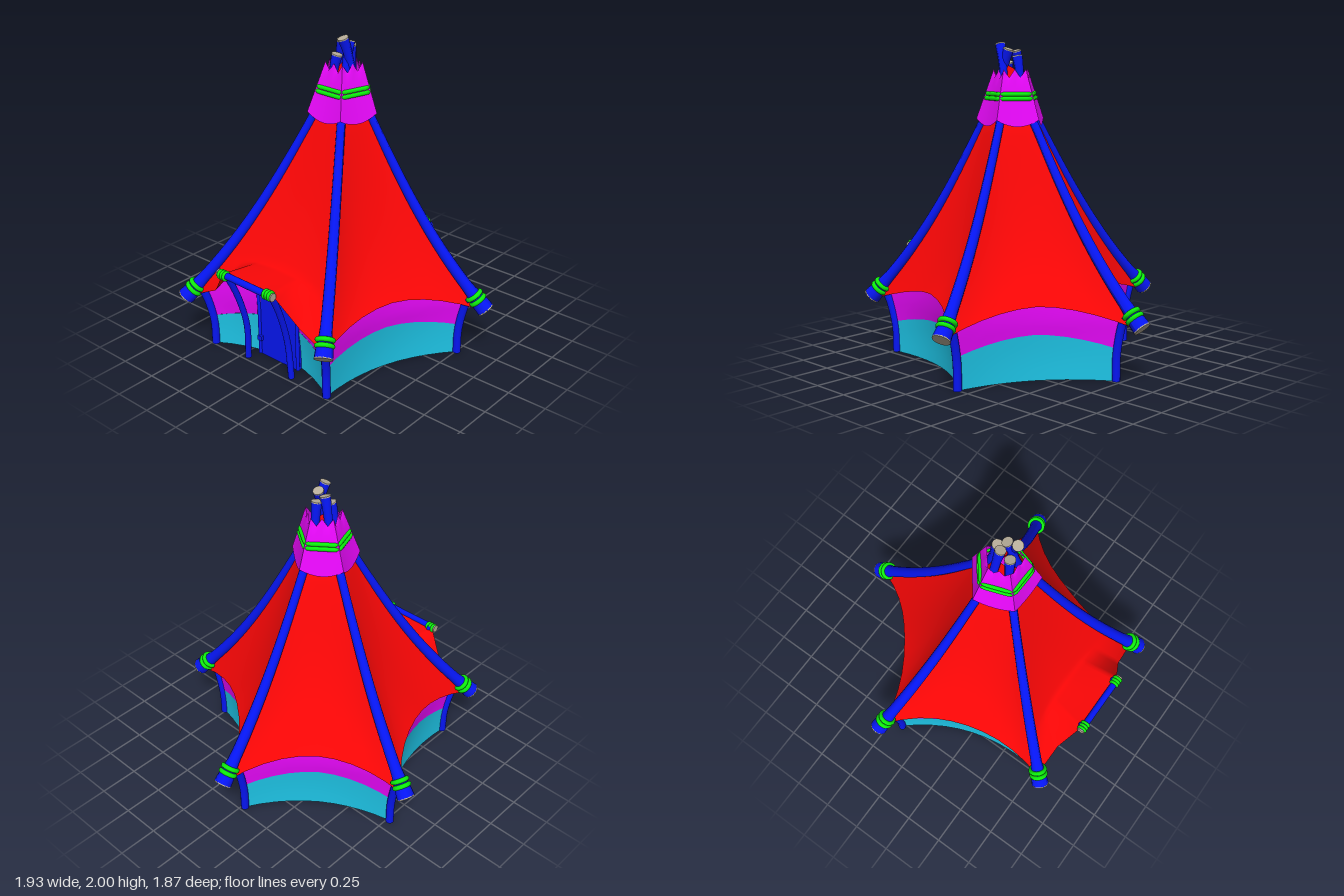
import * as THREE from 'three';

const V = (x, y, z) => new THREE.Vector3(x, y, z);
const paint = (color, side = THREE.FrontSide) => {
  const m = new THREE.MeshStandardMaterial({ side });
  m.color.set(color);
  return m;
};
const RED = paint(0xfa0606, THREE.DoubleSide), MAGENTA = paint(0xe808fa, THREE.DoubleSide);
const CYAN = paint(0x1ec6e8, THREE.DoubleSide), BLUE = paint(0x0616f4);
const GREEN = paint(0x0cf00c), WOOD = paint(0xb9af9b);

// Five poles in order around the tent, starting at the back
const POLES = [
  { tip: V(.05, 1.91, .03), cap: V(.035, 1.5, -.1), end: V(-.03, .35, -.895), foot: V(-.02, 0, -.715) },
  { tip: V(.02, 1.94, .07), cap: V(-.14, 1.5, .03), end: V(-.925, .355, -.22), foot: V(-.77, 0, -.17) },
  { tip: V(.03, 1.87, .13), cap: V(-.07, 1.5, .23), end: V(-.6, .345, .855), foot: V(-.48, 0, .73) },
  { tip: V(.08, 1.95, .075), cap: V(.15, 1.5, .235), end: V(.55, .365, .86), foot: V(.455, 0, .73) },
  { tip: V(.085, 1.98, .14), cap: V(.205, 1.5, .028), end: V(.92, .345, -.22), foot: V(.755, 0, -.17) },
];
const CENTER = V(.045, 0, .08), F_TIP = -.4, FRONT = 2;

// Point on a pole: f = F_TIP at the tip, 0 under the cap, 1 at the lower end
function polePoint(p, f) {
  const q = f < 0 ? p.cap.clone().lerp(p.tip, f / F_TIP) : p.cap.clone().lerp(p.end, f);
  const inward = CENTER.clone().sub(q).setY(0);
  if (f < 0) return q.addScaledVector(inward, .3 * Math.sin(Math.PI * f / F_TIP));
  return q.addScaledVector(inward.normalize(), .17 * f * (1 - f * f));
}

class PoleCurve extends THREE.Curve {
  constructor(p) { super(); this.p = p; }
  getPoint(t, target = V(0, 0, 0)) { return target.copy(polePoint(this.p, F_TIP + t * (1 - F_TIP))); }
}

function add(parent, name, geometry, material) {
  const mesh = new THREE.Mesh(geometry, material);
  mesh.name = name;
  parent.add(mesh);
  return mesh;
}

// Surface from rows of points: fn(u, v)
function sheet(fn, nu, nv) {
  const pos = [], index = [];
  for (let j = 0; j <= nv; j++) for (let i = 0; i <= nu; i++) pos.push(...fn(i / nu, j / nv).toArray());
  for (let j = 0; j < nv; j++) for (let i = 0; i < nu; i++) {
    const a = j * (nu + 1) + i, b = a + nu + 1;
    index.push(a, b, a + 1, b, b + 1, a + 1);
  }
  const g = new THREE.BufferGeometry();
  g.setAttribute('position', new THREE.Float32BufferAttribute(pos, 3));
  g.setIndex(index);
  g.computeVertexNormals();
  return g;
}

// Tube whose radius follows a rule along its length
function taperedTube(curve, segments, radiusAt) {
  const g = new THREE.TubeGeometry(curve, segments, 1, 12), p = g.attributes.position;
  for (let i = 0; i < p.count; i++) {
    const t = Math.floor(i / 13) / segments, c = curve.getPointAt(t);
    const v = V(0, 0, 0).fromBufferAttribute(p, i).sub(c).multiplyScalar(radiusAt(t)).add(c);
    p.setXYZ(i, v.x, v.y, v.z);
  }
  g.computeVertexNormals();
  return g;
}

function aim(mesh, position, direction, axis) {
  mesh.position.copy(position);
  mesh.quaternion.setFromUnitVectors(axis, direction.clone().normalize());
}
function disc(parent, position, direction, r) {
  aim(add(parent, 'woodEnd', new THREE.CylinderGeometry(r, r, .008, 16), WOOD), position, direction, V(0, 1, 0));
}
function ring(parent, position, direction, r, tube) {
  aim(add(parent, 'lashing', new THREE.TorusGeometry(r, tube, 8, 20), GREEN), position, direction, V(0, 0, 1));
}
const tube = (pts, r, n = 12) => new THREE.TubeGeometry(new THREE.CatmullRomCurve3(pts), n, r, 10);

// Horizontal direction from the edge between two points towards the middle
function inwardOf(a, b) {
  const d = V(-(b.z - a.z), 0, b.x - a.x).normalize();
  return d.dot(CENTER.clone().sub(a).setY(0)) < 0 ? d.negate() : d;
}
const bow = (u, p = 2) => 1 - Math.abs(2 * u - 1) ** p;
function knots(u, us, vs) {
  let i = 0;
  while (i < us.length - 2 && u > us[i + 1]) i++;
  return THREE.MathUtils.lerp(vs[i], vs[i + 1], (u - us[i]) / (us[i + 1] - us[i]));
}

// Sagging cloth between two poles
function canopyPoint(a, b, u, f, sag) {
  const A = polePoint(a, f), B = polePoint(b, f), k = Math.max(0, f);
  const q = A.clone().lerp(B, u).addScaledVector(inwardOf(A, B), sag * k ** 1.2 * bow(u, 2.3));
  q.y += k ** 4 * (.145 * bow(u, 1.6) - .055);
  return q;
}
const HEM_U = [0, .18, .32, .68, .82, 1];
const hem = u => V(knots(u, HEM_U, [-.57, -.36, -.22, .19, .34, .53]),
  knots(u, HEM_U, [.35, .46, .65, .65, .46, .35]), knots(u, HEM_U, [.81, .82, .885, .885, .825, .81]));
const HEM_F = .965, BEND_F = .76;
function frontCanopyPoint(a, b, u, f) {
  const upper = canopyPoint(a, b, u, Math.min(f, BEND_F), .04);
  return f <= BEND_F ? upper : upper.lerp(hem(u), (f - BEND_F) / (HEM_F - BEND_F));
}

// Side wall, bowed inward and flared at the top
function wallPoint(k, u, y) {
  const a = POLES[k].foot, b = POLES[(k + 1) % 5].foot;
  const q = a.clone().lerp(b, u).multiplyScalar(1 + .05 * Math.min(1, y / .36) ** 2);
  q.addScaledVector(inwardOf(a, b), (k === FRONT ? .145 : .105) * bow(u));
  q.y = y;
  return q;
}

function buildDoor(root) {
  const door = new THREE.Group();
  door.name = 'door';
  root.add(door);
  const l = -.175, r = .14, h = .59, c = .08;
  const s = new THREE.Shape().moveTo(l, 0).lineTo(r, 0).lineTo(r, h - c);
  s.quadraticCurveTo(r, h, r - c, h).lineTo(l + c, h).quadraticCurveTo(l, h, l, h - c).lineTo(l, 0);
  add(door, 'doorPanel', new THREE.ExtrudeGeometry(s, { depth: .055, bevelEnabled: false }), BLUE).position.z = .58;
  const arch = [[l, .005], [l, .3], [l, h - c], [l + .025, h - .02], [l + c, h], [r - c, h], [r - .025, h - .02], [r, h - c], [r, .3], [r, .005]];
  add(door, 'doorFrame', tube(arch.map(([x, y]) => V(x, y, .635)), .012, 60), BLUE);
  for (const y of [.12, .47]) add(door, 'hinge', new THREE.BoxGeometry(.035, .03, .02), BLUE).position.set(-.165, y, .645);

  // Awning bar on two curved legs
  const bar = add(door, 'awningBar', new THREE.CylinderGeometry(.021, .021, .435, 14), BLUE);
  aim(bar, V(-.018, .652, .895), V(1, -.02, 0), V(0, 1, 0));
  disc(door, V(-.236, .656, .895), V(1, 0, 0), .025);
  disc(door, V(.2, .648, .895), V(1, 0, 0), .025);
  for (const x of [-.2, .165]) {
    add(door, 'awningLeg', tube([V(x, .665, .885), V(x * .96, .48, .8), V(x * .94, .25, .735), V(x, .005, .72)], .02), BLUE);
    for (const d of [-.02, 0, .02]) ring(door, V(x + d, .652, .895), V(1, 0, 0), .023, .01);
  }
}

export function createModel() {
  const root = new THREE.Group();
  root.name = 'tent';

  // Poles with wooden ends, lashings and corner posts
  for (const p of POLES) {
    const g = new THREE.Group(), curve = new PoleCurve(p);
    g.name = 'pole';
    root.add(g);
    const radius = t => .026 + .007 * Math.max(0, 1 - t / .06) + .012 * Math.max(0, t - .3) / .7
      + .018 * THREE.MathUtils.smoothstep(t, .9, 1);
    add(g, 'poleShaft', taperedTube(curve, 40, radius), BLUE);
    disc(g, curve.getPointAt(0), curve.getTangentAt(0), .033);
    disc(g, curve.getPointAt(1), curve.getTangentAt(1), .056);
    for (const t of [.941, .96]) ring(g, curve.getPointAt(t), curve.getTangentAt(t), .046, .015);
    const at = (s, y) => V(p.foot.x * s, y, p.foot.z * s);
    add(g, 'cornerPost', tube([at(1, .002), at(1.005, .17), at(1.05, .34), at(1.08, .4)], .026), BLUE);
  }

  // Canopy panels and two-tone walls
  POLES.forEach((a, k) => {
    const b = POLES[(k + 1) % 5], front = k === FRONT;
    const f = v => -.31 + v * (HEM_F + .31);
    add(root, front ? 'frontCanopy' : 'canopyPanel', sheet((u, v) => front
      ? frontCanopyPoint(a, b, u, f(v)) : canopyPoint(a, b, u, f(v), .15), front ? 50 : 10, front ? 51 : 24), RED);
    const seam = u => .2 + .085 * bow(u, 1.6);
    const top = u => front ? knots(u, HEM_U, [.39, .51, .64, .64, .51, .39]) : .395 + .09 * bow(u, 1.6);
    add(root, 'lowerWall', sheet((u, v) => wallPoint(k, u, seam(u) * (1 - v)), 10, 4), CYAN);
    add(root, 'upperWall', sheet((u, v) => wallPoint(k, u, THREE.MathUtils.lerp(top(u), seam(u), v)), front ? 50 : 10, 4), MAGENTA);
  });

  // Floor following the wall outline
  const outline = POLES.flatMap((_, k) => Array.from({ length: 10 }, (_, i) => {
    const q = wallPoint(k, i / 10, 0);
    return new THREE.Vector2(q.x, -q.z);
  }));
  add(root, 'floor', new THREE.ShapeGeometry(new THREE.Shape(outline)).rotateX(-Math.PI / 2), MAGENTA).position.y = .003;

  // Five-sided cap with a ragged top, wrapped by two cords
  const capCorner = (p, y) => {
    const d = p.cap.clone().sub(CENTER).setY(0), wide = d.length() + .038;
    return CENTER.clone().addScaledVector(d.normalize(), THREE.MathUtils.lerp(wide, .114, (y - 1.5) / .33)).setY(y);
  };
  POLES.forEach((a, k) => {
    const b = POLES[(k + 1) % 5];
    add(root, 'capPanel', sheet((u, v) => {
      const y = 1.83 - .33 * v, q = capCorner(a, y).lerp(capCorner(b, y), u);
      const jag = Math.abs(((u * 2) % 1) - .5) * 2;
      q.y += v * (.025 - .04 * bow(u)) - (v === 0 ? .05 * (1 - jag) : 0);
      return q;
    }, 8, 6), MAGENTA);
  });
  for (const y of [1.653, 1.68]) {
    const path = new THREE.CurvePath();
    const c = POLES.map(p => capCorner(p, y));
    const rounded = c.flatMap((q, i) => [q.clone().lerp(c[(i + 4) % 5], .1), q.clone().lerp(c[(i + 1) % 5], .1)]);
    rounded.forEach((q, i) => path.add(new THREE.LineCurve3(q, rounded[(i + 1) % 10])));
    add(root, 'capCord', new THREE.TubeGeometry(path, 60, .014, 8, true), GREEN);
  }

  buildDoor(root);
  return root;
}
